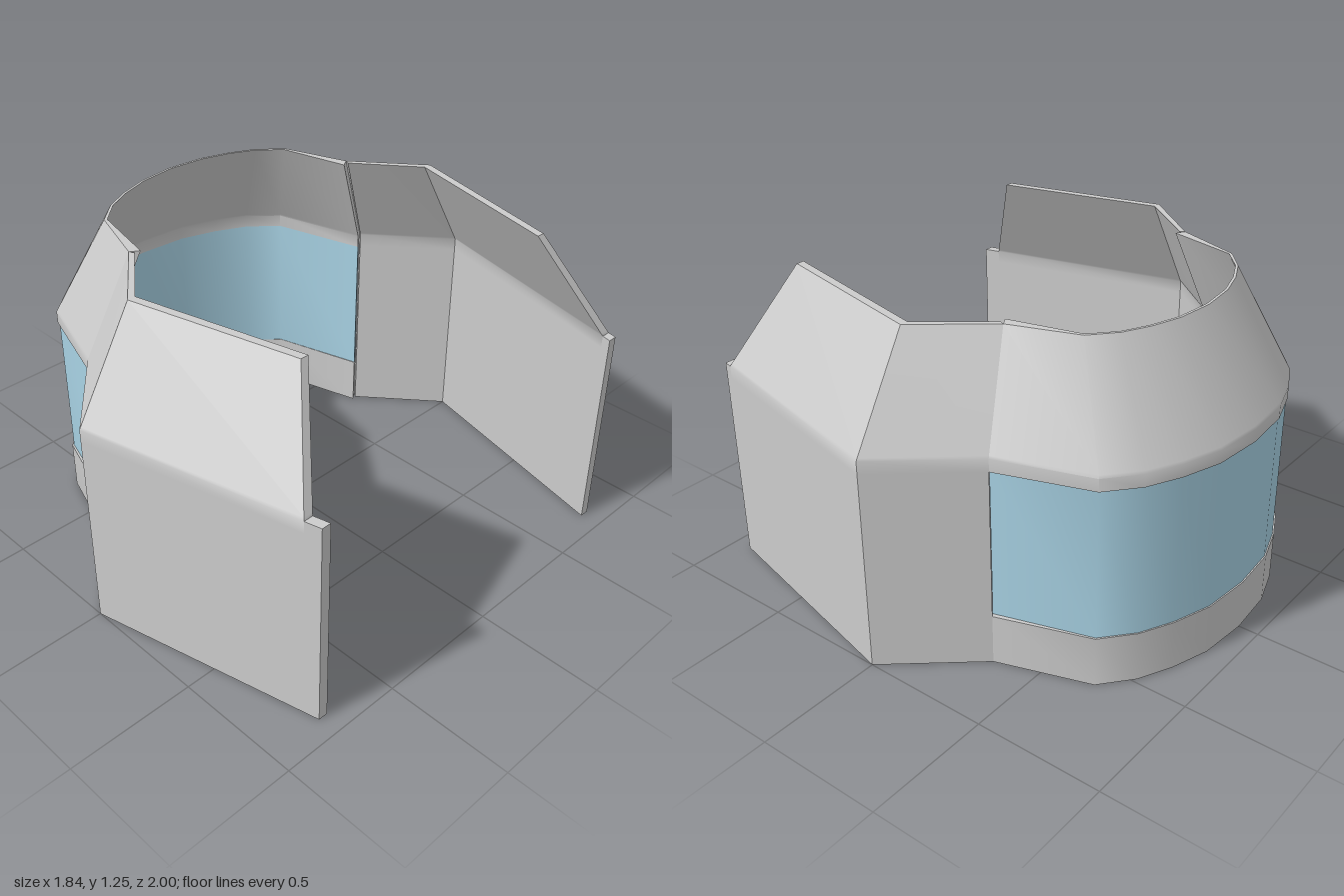
import * as THREE from 'three';
import { toCreasedNormals } from 'three/addons/utils/BufferGeometryUtils.js';

const EAVE = 0.84, TOP = 1.245;
const grey = new THREE.MeshStandardMaterial({ color: 0xcccccc });
const glass = new THREE.MeshStandardMaterial({ color: 0xa9d3e5 });

const mix = (a, b, t) => [a[0] + (b[0] - a[0]) * t, a[1] + (b[1] - a[1]) * t];

// Column of a wall: plan points [x, z] of the outer and inner face at the base and at the top
const column = (outer, inner, outerTop, innerTop) => ({ outer, inner, outerTop, innerTop });
const flipZ = (cols) => cols.map((c) => Object.fromEntries(
  Object.entries(c).map(([k, [x, z]]) => [k, [x, -z]]))).reverse();

// Closed solid lofted through columns: upright to the eave, leaning inward above it
function wall(name, cols, rows, material = grey) {
  const n = rows.length, m = 2 * n, pos = [], idx = [];
  for (const c of cols) {
    const point = (y, low, high) => {
      const [x, z] = mix(low, high, Math.max(0, (y - EAVE) / (TOP - EAVE)));
      pos.push(x, y, z);
    };
    rows.forEach((y) => point(y, c.outer, c.outerTop));
    [...rows].reverse().forEach((y) => point(y, c.inner, c.innerTop));
  }
  for (let i = 0; i < cols.length - 1; i++) {
    for (let j = 0; j < m; j++) {
      const k = (j + 1) % m, a = i * m, b = a + m;
      idx.push(a + j, a + k, b + k, a + j, b + k, b + j);
    }
  }
  // end caps
  const e = (cols.length - 1) * m;
  for (let j = 0; j < n - 1; j++) {
    const o = j, p = j + 1, q = m - 2 - j, r = m - 1 - j;
    idx.push(o, q, p, o, r, q);
    idx.push(e + o, e + p, e + q, e + o, e + q, e + r);
  }
  const geo = new THREE.BufferGeometry();
  geo.setAttribute('position', new THREE.Float32BufferAttribute(pos, 3));
  geo.setIndex(idx);
  const mesh = new THREE.Mesh(toCreasedNormals(geo, 0.65), material);
  mesh.name = name;
  return mesh;
}

// Straight wing column at base position x and top position t
const wingColumn = (x, t) => column(
  [x, 1 - 0.24 * x], [x, 0.962 - 0.24 * x],
  [t, 0.76 - 0.24 * t], [t, 0.728 - 0.24 * t]);

export function createModel() {
  const group = new THREE.Group();
  const fullRows = [0, 0.79, EAVE, 0.85, TOP];

  // Two wings, each with a narrow upright end strip below the eave
  const wings = [
    { side: 'front', x: 0.857, t: 0.65, place: (c) => c },
    { side: 'back', x: 0.884, t: 0.67, place: flipZ },
  ];
  for (const { side, x, t, place } of wings) {
    const cols = [
      wingColumn(x, t),
      wingColumn(0, 0),
      column([-0.33, 0.72], [-0.31, 0.705], [-0.26, 0.55], [-0.24, 0.54]),
    ];
    group.add(wall(side + 'Wing', place(cols), fullRows));
    const strip = [wingColumn(0.92, 0.92), wingColumn(x, x)];
    group.add(wall(side + 'WingEndStrip', place(strip), [0, EAVE]));
  }

  // Rounded rear section, half plan from the jamb to the middle
  const base = [[-0.33, 0.72], [-0.69, 0.6], [-0.79, 0.482], [-0.853, 0.353], [-0.903, 0.2], [-0.92, 0]];
  const roof = [[-0.26, 0.55], [-0.52, 0.46], [-0.6, 0.368], [-0.65, 0.267], [-0.687, 0.15], [-0.703, 0]];
  const scaled = ([x, z]) => [x * 0.986, z * 0.986];
  const half = base.map((p, i) => column(
    p, [[-0.305, 0.685], [-0.68, 0.585]][i] ?? scaled(p),
    roof[i], [[-0.238, 0.515], [-0.513, 0.45]][i] ?? scaled(roof[i])));
  const rear = [...half, ...flipZ(half).slice(1)];
  group.add(wall('rearLowerWall', rear, [0, 0.2]));
  group.add(wall('rearUpperWall', rear, [0.79, EAVE, 0.85, TOP]));

  // Wraparound window, set slightly back from the outer face
  const pane = rear.map((c) => ({
    ...c, outer: mix(c.outer, c.inner, 0.4), inner: mix(c.outer, c.inner, 0.92),
  }));
  group.add(wall('window', pane, [0.2, 0.79], glass));

  return group;
}
